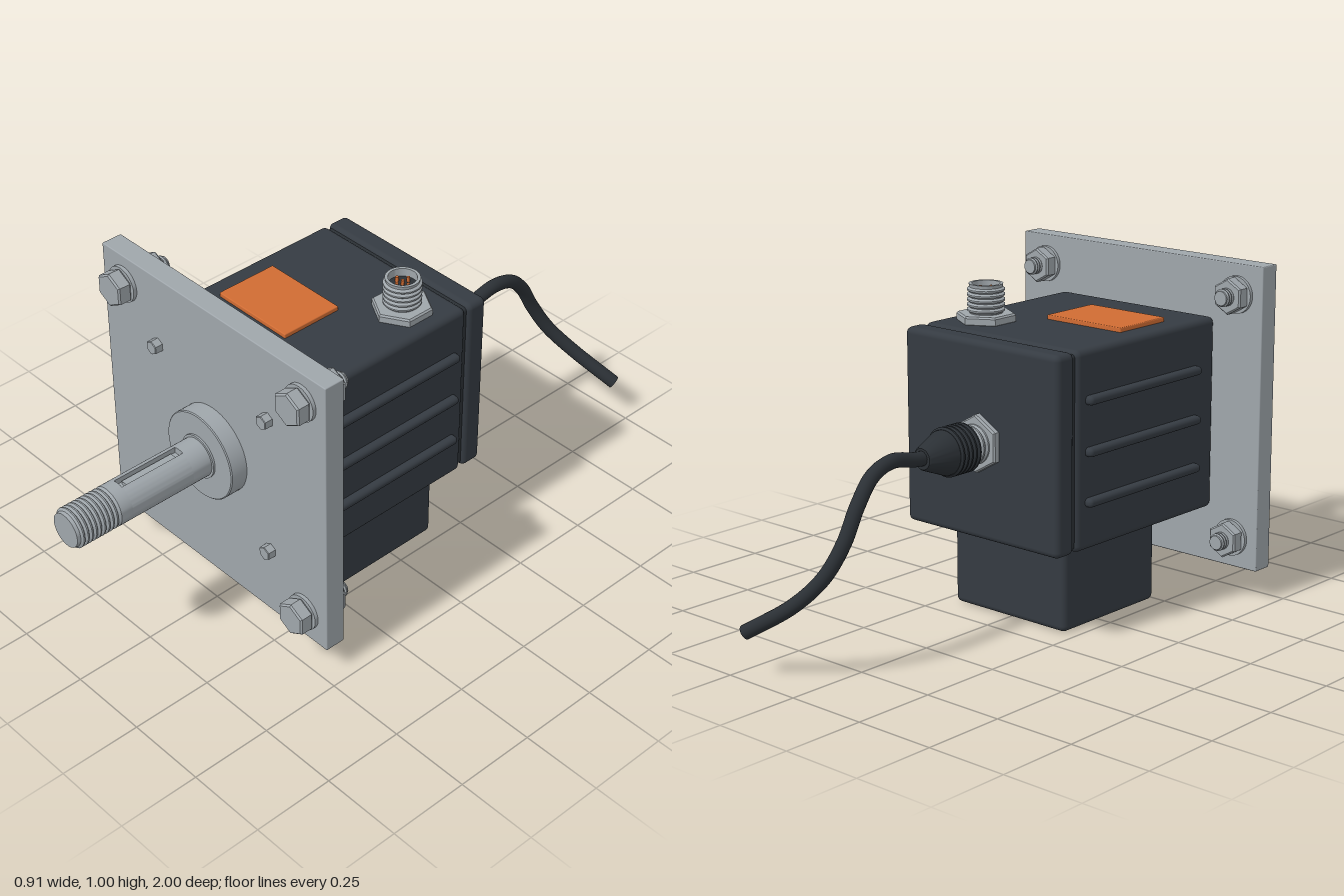
import * as THREE from 'three';
import { toCreasedNormals } from 'three/addons/utils/BufferGeometryUtils.js';
import { RoundedBoxGeometry } from 'three/addons/geometries/RoundedBoxGeometry.js';

const material = (name, color) => new THREE.MeshStandardMaterial({ name, color });

export function createModel() {
  const steel = material('steel', 0x9fa6ab);
  const dark = material('dark housing', 0x353b42);
  const rubber = material('black rubber', 0x2b3035);
  const orange = material('orange', 0xd06c33);
  const model = new THREE.Group();
  model.name = 'geared encoder unit';
  const AXIS = 0.55; // height of the shaft axis

  const add = (name, geo, mat, x = 0, y = 0, z = 0, parent = model) => {
    const mesh = new THREE.Mesh(geo, mat);
    mesh.name = name;
    mesh.position.set(x, y, z);
    parent.add(mesh);
    return mesh;
  };
  // Box given by its limits, with rounded edges
  const block = (name, mat, [x0, x1], [y0, y1], [z0, z1], r) =>
    add(name, new RoundedBoxGeometry(x1 - x0, y1 - y0, z1 - z0, 3, r), mat,
      (x0 + x1) / 2, (y0 + y1) / 2, (z0 + z1) / 2);
  // Turned part: [radius, height] pairs from low to high
  const turned = (points, sides = 40) => toCreasedNormals(
    new THREE.LatheGeometry(points.map(([r, h]) => new THREE.Vector2(r, h)), sides), 0.5);
  const turnedZ = (points, sides) => turned(points, sides).rotateX(Math.PI / 2);
  // Hexagonal head with chamfered rims
  const hex = (r, h0, h1, c = 0.005) => turned([[0, h0], [r - c, h0], [r, h0 + c],
    [r, h1 - c], [r - c, h1], [0, h1]], 6);
  const hexZ = (...a) => hex(...a).rotateX(Math.PI / 2);
  // Zigzag thread profile
  const thread = (r, depth, h0, h1, turns) => {
    const pts = [], p = (h1 - h0) / turns;
    for (let i = 0; i < turns; i++) {
      const h = h0 + i * p;
      pts.push([r - depth, h], [r, h + p * 0.35], [r, h + p * 0.65]);
    }
    return [...pts, [r - depth, h1]];
  };

  // Mounting plate and flange
  block('mountingPlate', steel, [-0.455, 0.455], [0.095, 1.005], [0.42, 0.485], 0.003);
  add('flange', turnedZ([[0, 0.48], [0.136, 0.48], [0.136, 0.537], [0.133, 0.54], [0, 0.54]], 64),
    steel, 0, AXIS);

  // Output shaft with keyway
  const R = 0.06;
  add('shaftCollar', turnedZ([[0, 0.53], [0.067, 0.53], [0.067, 0.546], [0, 0.546]]), steel, 0, AXIS);
  add('shaftBase', turnedZ([[0, 0.54], [R, 0.54], [R, 0.61], [0, 0.61]]), steel, 0, AXIS);
  const slot = 0.017, a = Math.asin(slot / R);
  const section = new THREE.Shape();
  section.absarc(0, 0, R, Math.PI / 2 + a, Math.PI * 2.5 - a, false);
  section.lineTo(slot, 0.04);
  section.lineTo(-slot, 0.04);
  add('shaftKeyway', toCreasedNormals(new THREE.ExtrudeGeometry(section,
    { depth: 0.21, bevelEnabled: false, curveSegments: 40 }), 0.5), steel, 0, AXIS, 0.61);
  add('shaftKey', new THREE.BoxGeometry(0.02, 0.012, 0.17), steel, 0, AXIS + 0.044, 0.715);
  add('shaftShoulder', turnedZ([[0, 0.82], [R, 0.82], [R, 0.858], [0.054, 0.866], [0, 0.866]]),
    steel, 0, AXIS);
  add('shaftThread', turnedZ([[0, 0.862], ...thread(R, 0.007, 0.864, 0.99, 9), [0.051, 1], [0, 1]]),
    steel, 0, AXIS);

  // Corner bolts with washers and nuts, and small screws
  for (const sx of [-1, 1]) for (const sy of [-1, 1]) {
    const bolt = new THREE.Group();
    bolt.name = 'cornerBolt';
    bolt.position.set(sx * 0.365, AXIS + sy * 0.365, 0);
    model.add(bolt);
    const washer = (z) => turnedZ([[0, z], [0.055, z], [0.055, z + 0.012], [0, z + 0.012]]);
    add('frontWasher', washer(0.484), steel, 0, 0, 0, bolt);
    add('boltHead', hexZ(0.053, 0.496, 0.54), steel, 0, 0, 0, bolt);
    add('backWasher', washer(0.409), steel, 0, 0, 0, bolt);
    add('nut', hexZ(0.053, 0.37, 0.41), steel, 0, 0, 0, bolt);
    add('boltEnd', turnedZ([[0, 0.34], [0.021, 0.34], ...thread(0.026, 0.004, 0.344, 0.375, 3)], 24),
      steel, 0, 0, 0, bolt);
    add('smallScrew', hexZ(0.022, 0.48, 0.511, 0.002), steel, sx * 0.228, AXIS + sy * 0.229);
  }

  // Housing, rear cover and lower box
  block('housing', dark, [-0.29, 0.29], [0.265, 0.84], [-0.197, 0.418], 0.018);
  block('coverSeam', rubber, [-0.28, 0.28], [0.275, 0.83], [-0.24, -0.15], 0.01);
  block('rearCover', dark, [-0.29, 0.29], [0.265, 0.84], [-0.277, -0.205], 0.018);
  block('lowerBox', dark, [-0.213, 0.213], [0.002, 0.29], [-0.16, 0.245], 0.018);
  for (const s of [-1, 1]) for (const y of [0.405, 0.55, 0.697]) {
    add('sideRib', new RoundedBoxGeometry(0.046, 0.026, 0.497, 3, 0.012), dark, s * 0.29, y, 0.087);
  }
  block('label', orange, [-0.222, 0.053], [0.835, 0.853], [0.068, 0.266], 0.003);

  // Threaded socket on top
  const socket = new THREE.Group();
  socket.name = 'topSocket';
  socket.position.set(0.172, 0, -0.062);
  model.add(socket);
  add('socketNut', hex(0.088, 0.836, 0.864), steel, 0, 0, 0, socket);
  add('socketBarrel', turned([[0.048, 0.86], ...thread(0.055, 0.007, 0.866, 0.94, 5),
    [0.05, 0.95], [0.041, 0.95], [0.041, 0.9]]), steel, 0, 0, 0, socket);
  add('socketInsert', turned([[0.041, 0.9], [0.041, 0.925], [0, 0.925]]), rubber, 0, 0, 0, socket);
  for (let i = 0; i < 5; i++) {
    const t = i * Math.PI * 0.4, r = i ? 0.022 : 0;
    add('pin', new THREE.CylinderGeometry(0.005, 0.005, 0.02, 10), orange,
      r * Math.cos(t * 1.25), 0.93, r * Math.sin(t * 1.25), socket);
  }

  // Rear cable gland
  add('glandNut', hexZ(0.085, -0.297, -0.27), steel, 0, AXIS);
  add('glandBarrel', turnedZ([[0, -0.345], ...thread(0.057, 0.005, -0.345, -0.29, 3)]), steel, 0, AXIS);
  add('glandGrip', turnedZ([[0, -0.42], ...thread(0.071, 0.006, -0.42, -0.338, 5), [0, -0.338]]),
    rubber, 0, AXIS);
  add('strainRelief', turnedZ([[0, -0.507], [0.03, -0.507], [0.034, -0.502], [0.064, -0.425], [0.064, -0.41]]),
    rubber, 0, AXIS);

  // Cable
  const path = new THREE.CatmullRomCurve3([
    [0, 0.55, -0.48], [0, 0.555, -0.54], [0, 0.568, -0.62], [-0.006, 0.545, -0.7],
    [-0.018, 0.478, -0.77], [-0.018, 0.39, -0.82], [0.01, 0.3, -0.868],
    [0.075, 0.22, -0.92], [0.205, 0.13, -0.982],
  ].map((p) => new THREE.Vector3(...p)));
  add('cable', new THREE.TubeGeometry(path, 80, 0.021, 16), rubber);
  const end = add('cableEnd', new THREE.CircleGeometry(0.021, 16), rubber, ...path.getPoint(1).toArray());
  end.quaternion.setFromUnitVectors(new THREE.Vector3(0, 0, 1), path.getTangent(1));

  return model;
}
